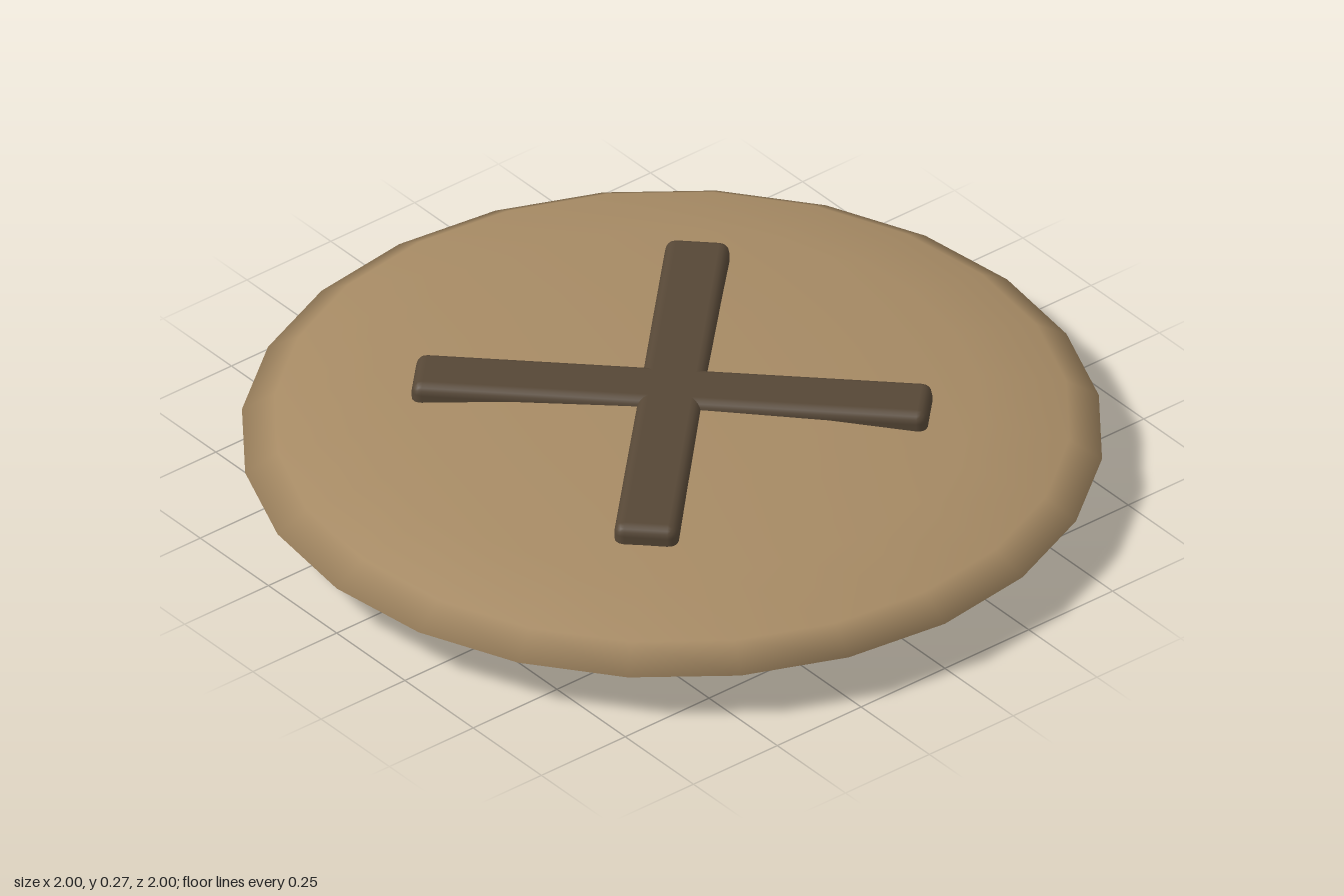
import * as THREE from 'three';
import { RoundedBoxGeometry } from 'three/addons/geometries/RoundedBoxGeometry.js';

export function createModel() {
  const group = new THREE.Group();
  group.name = 'crossedDisc';

  const tan = new THREE.MeshStandardMaterial({ color: 0xa68a64 });
  tan.name = 'tan';
  const darkBrown = new THREE.MeshStandardMaterial({ color: 0x564736 });
  darkBrown.name = 'dark brown';

  // Flattened round body
  const halfHeight = 0.125;
  const bodyGeometry = new THREE.SphereGeometry(1, 24, 8);
  bodyGeometry.scale(1, halfHeight, 1);
  const body = new THREE.Mesh(bodyGeometry, tan);
  body.name = 'body';
  body.position.y = halfHeight;
  group.add(body);

  // Two rounded bars crossing on top, sunk into the body
  const barHeight = 0.08;
  const barGeometry = new RoundedBoxGeometry(1.2, barHeight, 0.15, 2, 0.025);
  const cross = new THREE.Group();
  cross.name = 'cross';
  [1, -1].forEach((side, i) => {
    const bar = new THREE.Mesh(barGeometry, darkBrown);
    bar.name = i === 0 ? 'crossBarA' : 'crossBarB';
    bar.position.y = 0.267 - barHeight / 2;
    bar.rotation.y = side * Math.PI / 4;
    cross.add(bar);
  });
  group.add(cross);

  return group;
}
